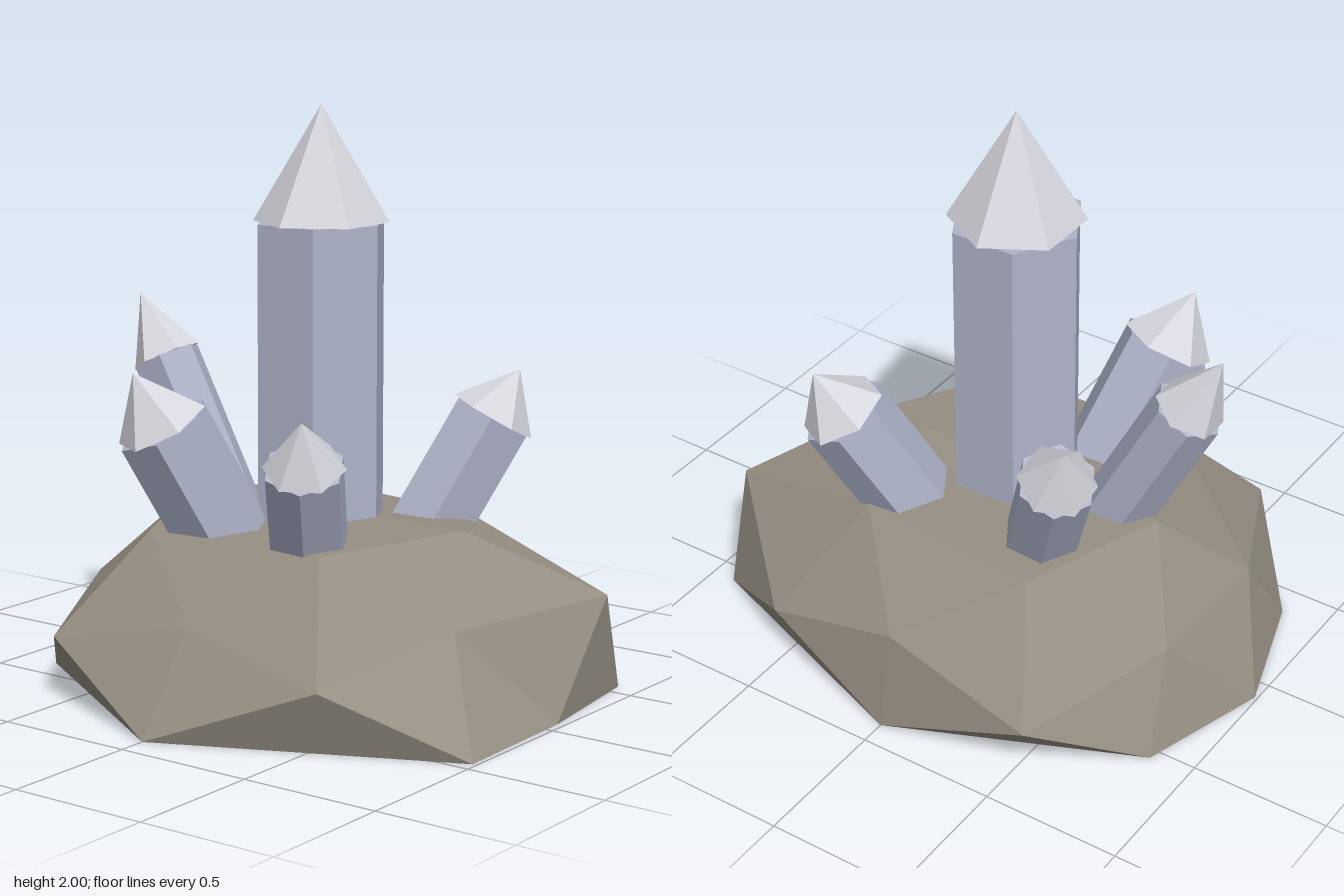
import * as THREE from 'three';

const CENTRE_Z = -0.07;

// Open rocky dome: half of a once-subdivided icosahedron with shifted corners
function rockGeometry() {
  const top = [0, 0.6, CENTRE_Z];
  // corners shared by two neighbouring quadrants, keyed by sign
  const P = { 1: [0.59, 0.6, -0.08], '-1': [-0.58, 0.59, -0.08] };
  const X = { 1: [0.975, 0, -0.07], '-1': [-0.99, 0, -0.08] };
  const Q = { 1: [0, 0.33, 0.67], '-1': [0, 0.34, -0.84] };
  const Z = { 1: [0, 0, 0.9], '-1': [0, 0, -0.91] };
  // corners inside each quadrant, keyed by x sign then z sign
  const quads = {
    '1,1': { a: [0.35, 0.57, 0.41], b: [0.57, 0.22, 0.72], c: [0.73, 0.33, 0.18], v: [0.985, 0, 0.45] },
    '1,-1': { a: [0.33, 0.55, -0.5], b: [0.52, 0.2, -0.81], c: [0.96, 0.37, -0.4], v: [0.91, 0, -0.57] },
    '-1,1': { a: [-0.37, 0.56, 0.41], b: [-0.55, 0.22, 0.71], c: [-0.8, 0.31, 0.18], v: [-0.84, 0, 0.38] },
    '-1,-1': { a: [-0.37, 0.56, -0.57], b: [-0.57, 0.22, -0.89], c: [-0.79, 0.31, -0.35], v: [-0.85, 0, -0.54] },
  };
  const positions = [];
  const inside = new THREE.Vector3(0, 0.1, CENTRE_Z);
  const face = (...corners) => {
    const t = new THREE.Triangle(...corners.map((p) => new THREE.Vector3(...p)));
    const outward = t.getMidpoint(new THREE.Vector3()).sub(inside);
    const [p, q, r] = corners;
    const order = t.getNormal(new THREE.Vector3()).dot(outward) < 0 ? [p, r, q] : [p, q, r];
    positions.push(...order.flat());
  };
  for (const sx of [1, -1]) {
    for (const sz of [1, -1]) {
      const { a, b, c, v } = quads[[sx, sz]];
      face(P[sx], a, c);
      face(a, Q[sz], b);
      face(c, b, v);
      face(a, b, c);
      face(P[sx], top, a);
      face(v, c, X[sx]);
      face(Q[sz], b, Z[sz]);
      face(v, b, Z[sz]);
    }
    // faces bridging the quadrants
    const front = quads[[sx, 1]].c, back = quads[[sx, -1]].c;
    face(P[sx], front, back);
    face(X[sx], front, back);
    const left = quads[[1, sx]].a, right = quads[[-1, sx]].a;
    face(top, left, right);
    face(Q[sx], left, right);
  }
  const geometry = new THREE.BufferGeometry();
  geometry.setAttribute('position', new THREE.Float32BufferAttribute(positions, 3));
  geometry.computeVertexNormals();
  return geometry;
}

export function createModel() {
  const model = new THREE.Group();
  model.name = 'crystalCluster';

  const rockMaterial = new THREE.MeshStandardMaterial({ color: 0x958e82, flatShading: true, side: THREE.DoubleSide });
  rockMaterial.name = 'brownRock';
  const shaftMaterial = new THREE.MeshStandardMaterial({ color: 0xafb4ca, flatShading: true });
  shaftMaterial.name = 'blueGreyCrystal';
  const tipMaterial = new THREE.MeshStandardMaterial({ color: 0xd6d6de, flatShading: true });
  tipMaterial.name = 'paleCrystalTip';

  const rock = new THREE.Mesh(rockGeometry(), rockMaterial);
  rock.name = 'rockBase';
  model.add(rock);

  // Hexagonal shaft with a pointed tip, hung from its apex along an axis
  function addCrystal(name, apex, axis, radius, tipHeight, bottomY) {
    const crystal = new THREE.Group();
    crystal.name = name;
    const length = (apex[1] - bottomY) / axis.y - tipHeight;

    const shaft = new THREE.Mesh(new THREE.CylinderGeometry(radius, radius, length, 6), shaftMaterial);
    shaft.name = 'shaft';
    shaft.rotation.y = Math.PI / 6;
    shaft.position.y = -tipHeight - length / 2;

    const tip = new THREE.Mesh(new THREE.ConeGeometry(radius, tipHeight, 6), tipMaterial);
    tip.name = 'tip';
    tip.position.y = -tipHeight / 2;

    crystal.add(shaft, tip);
    crystal.position.set(...apex);
    crystal.quaternion.setFromUnitVectors(new THREE.Vector3(0, 1, 0), axis);
    model.add(crystal);
  }

  addCrystal('mainCrystal', [0, 2, CENTRE_Z], new THREE.Vector3(0, 1, 0), 0.235, 0.4, 0.45);

  // Side crystals lean outward: name, apex, slope, radius, tip height
  const sideCrystals = [
    ['rightCrystal', [-0.78, 1.29, -0.035], 0.52, 0.125, 0.25],
    ['backRightCrystal', [-0.51, 1.13, -0.56], 0.57, 0.135, 0.2],
    ['backLeftCrystal', [0.49, 1.07, -0.57], 0.58, 0.155, 0.19],
    ['frontLeftCrystal', [0.345, 1.03, 0.5], 0.55, 0.14, 0.19],
    ['frontRightCrystal', [-0.355, 1.12, 0.51], 0.55, 0.165, 0.21],
  ];
  for (const [name, apex, slope, radius, tipHeight] of sideCrystals) {
    const axis = new THREE.Vector3(apex[0], 0, apex[2] - CENTRE_Z).setLength(slope);
    axis.y = 1;
    addCrystal(name, apex, axis.normalize(), radius, tipHeight, 0.42);
  }
  return model;
}
